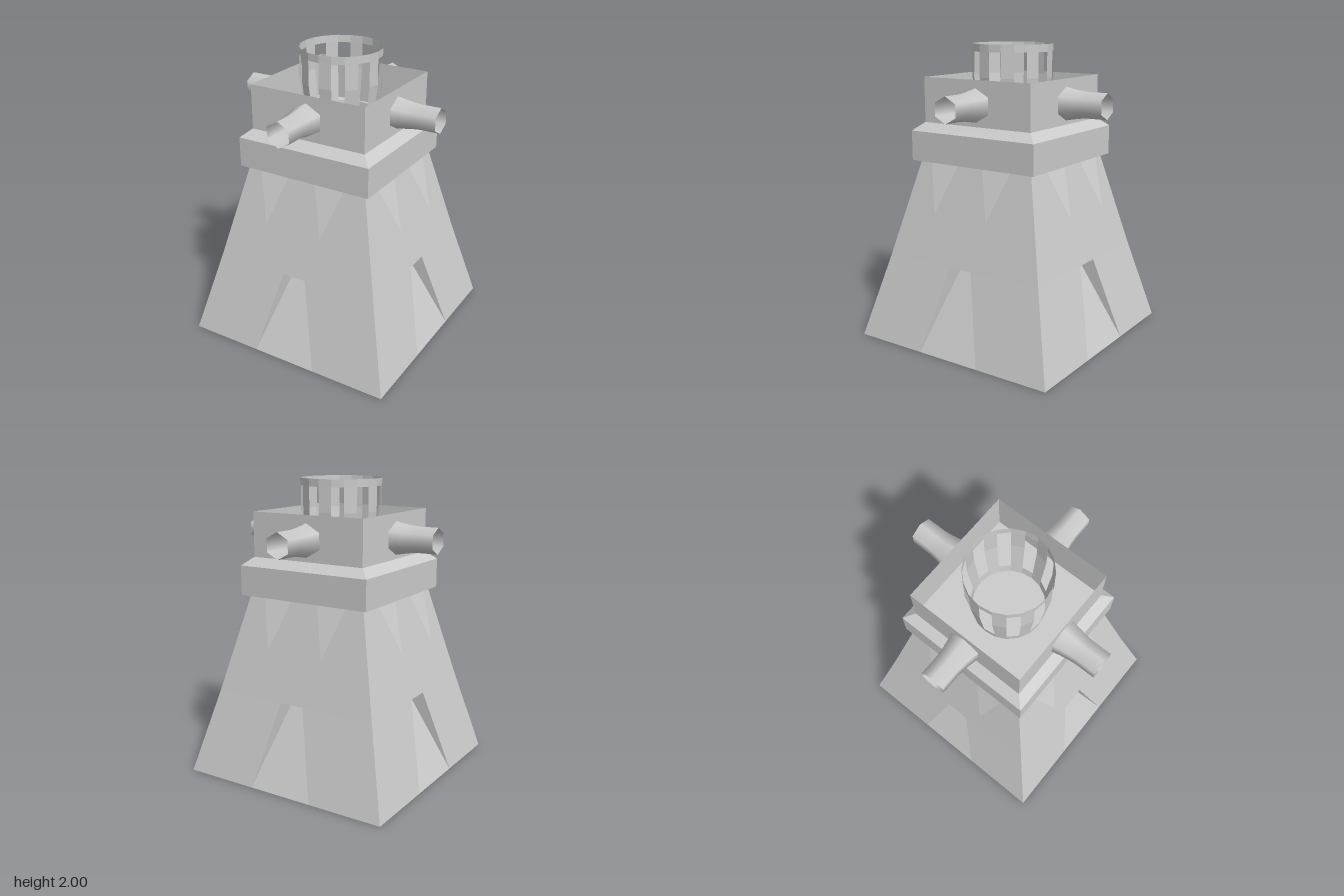
import * as THREE from 'three';

const flat = new THREE.MeshStandardMaterial({ color: 0xcccccc, flatShading: true, side: THREE.DoubleSide });
const smooth = new THREE.MeshStandardMaterial({ color: 0xcccccc, side: THREE.DoubleSide });

function add(parent, name, geometry, material = flat) {
  const mesh = new THREE.Mesh(geometry, material);
  mesh.name = name;
  parent.add(mesh);
  return mesh;
}

// Builds a faceted surface from polygons, each fanned from its first corner
function facets(polygons) {
  const pos = [];
  for (const p of polygons) {
    for (let i = 1; i < p.length - 1; i++) pos.push(...p[0], ...p[i], ...p[i + 1]);
  }
  const g = new THREE.BufferGeometry();
  g.setAttribute('position', new THREE.Float32BufferAttribute(pos, 3));
  g.computeVertexNormals();
  return g;
}

// Square tier between two heights, given by half widths
function tier(s0, y0, s1, y1, open) {
  const g = new THREE.CylinderGeometry(s1 * Math.SQRT2, s0 * Math.SQRT2, y1 - y0, 4, 1, open);
  return g.rotateY(Math.PI / 4).translate(0, (y0 + y1) / 2, 0);
}

// Sloping wall with a recessed, tapering doorway
function wallGeometry() {
  const kink = 0.575, top = 1.23;
  const polys = [[[-0.6, kink, 0.6], [0.6, kink, 0.6], [0.44, top, 0.44], [-0.44, top, 0.44]]];
  for (const s of [-1, 1]) {
    const strip = [[s * 0.75, 0, 0.75], [s * 0.23, 0, 0.75], [s * 0.085, kink, 0.6], [s * 0.6, kink, 0.6]];
    const reveal = [[s * 0.23, 0, 0.75], [s * 0.07, 0.54, 0.51], [s * 0.085, kink, 0.6]];
    polys.push(s < 0 ? strip : strip.reverse(), s < 0 ? reveal : reveal.reverse());
  }
  polys.push([[-0.07, 0.54, 0.51], [0.07, 0.54, 0.51], [0.085, kink, 0.6], [-0.085, kink, 0.6]]);
  polys.push([[-0.23, 0, 0.75], [0.23, 0, 0.75], [0.07, 0.54, 0.51], [-0.07, 0.54, 0.51]]);
  return facets(polys);
}

// Thin hanging triangle standing off the wall
function spikeGeometry(x) {
  return facets([[[x - 0.11, 1.235, 0.465], [x, 0.91, 0.585], [x + 0.11, 1.235, 0.465]]]);
}

// Open six-sided barrel pointing to +z, flaring where it meets the turret
function barrelGeometry() {
  const profile = [[0.11, 0.42], [0.1, 0.47], [0.09, 0.53], [0.085, 0.585], [0.085, 0.72]];
  return new THREE.LatheGeometry(profile.map(([r, y]) => new THREE.Vector2(r, y)), 6)
    .rotateX(Math.PI / 2).scale(1.07, 1, 1).translate(0, 1.623, 0);
}

// Thin round cage: twenty facets, every other one with a tall window
function cageGeometry() {
  const n = 20, levels = [[0.235, 1.485], [0.243, 1.55], [0.272, 1.785], [0.272, 1.95], [0.273, 2]];
  const at = ([r, y], k) => {
    const a = (k * 2 * Math.PI) / n;
    return [r * Math.sin(a), y, r * Math.cos(a)];
  };
  const polys = [];
  for (let k = 0; k < n; k++) {
    for (let j = 0; j < levels.length - 1; j++) {
      if (k % 2 === 1 && (j === 1 || j === 2)) continue;
      polys.push([at(levels[j], k), at(levels[j], k + 1), at(levels[j + 1], k + 1), at(levels[j + 1], k)]);
    }
  }
  return facets(polys);
}

export function createModel() {
  const model = new THREE.Group();
  model.name = 'tower';

  // Four identical sides
  for (let i = 0; i < 4; i++) {
    const side = new THREE.Group();
    side.name = 'towerSide';
    side.rotation.y = (i * Math.PI) / 2;
    add(side, 'wall', wallGeometry());
    // Spikes keep the same offset on opposite sides
    const m = i < 2 ? 1 : -1;
    for (const x of [-0.22, 0.195]) add(side, 'hangingSpike', spikeGeometry(x * m));
    add(side, 'barrel', barrelGeometry(), smooth);
    model.add(side);
  }

  // Collar, its bevel forming the turret floor, and the open parapet
  add(model, 'collar', tier(0.485, 1.23, 0.485, 1.43, false));
  add(model, 'collarBevel', tier(0.485, 1.43, 0.42, 1.485, false));
  add(model, 'parapet', tier(0.42, 1.485, 0.42, 1.785, true));

  add(model, 'cage', cageGeometry());
  return model;
}
